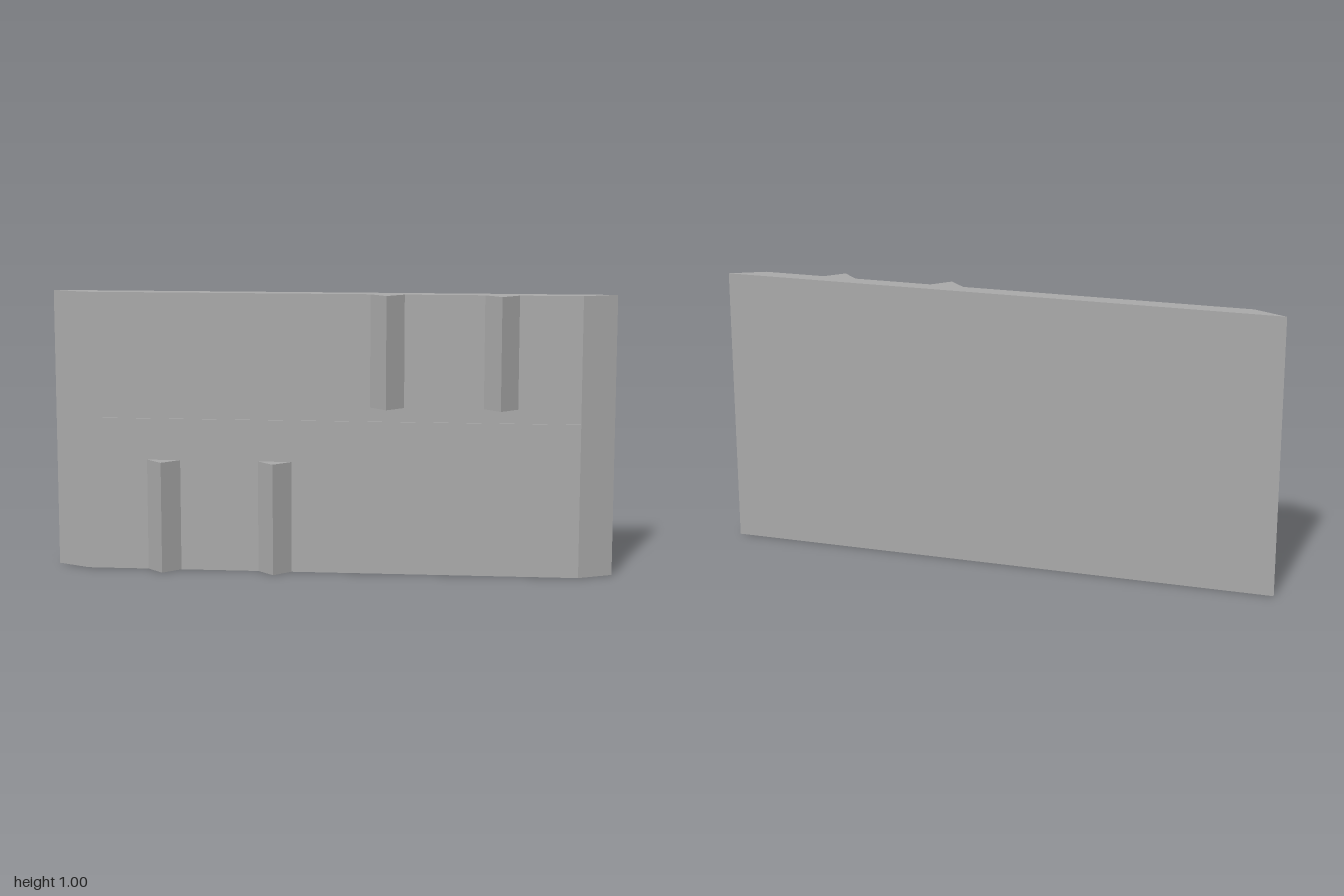
import * as THREE from 'three';

export function createModel() {
  const group = new THREE.Group();
  const grey = new THREE.MeshStandardMaterial({ color: 0xaaaaaa });
  grey.name = 'grey';

  const add = (name, geometry) => {
    const mesh = new THREE.Mesh(geometry, grey);
    mesh.name = name;
    group.add(mesh);
    return mesh;
  };

  // Upright prism from an outline of [x, z] points
  const prism = (outline, height) => {
    const shape = new THREE.Shape(outline.map(([x, z]) => new THREE.Vector2(x, -z)));
    return new THREE.ExtrudeGeometry(shape, { depth: height, bevelEnabled: false }).rotateX(-Math.PI / 2);
  };

  // Panel with bevelled side edges
  add('panel', prism([[-1, -0.06], [-0.88, 0], [0.88, 0], [1, -0.06]], 1));

  // Thin horizontal band across the middle of the front
  add('middleBand', new THREE.BoxGeometry(1.76, 0.1, 0.005)).position.set(0, 0.5, 0.0025);

  // Triangular ridges: two at the lower right, two at the upper left
  const ridge = prism([[-0.06, 0], [0, 0.06], [0.06, 0]], 0.4);
  for (const x of [-0.6, -0.2]) add('lowerRidge', ridge).position.set(x, 0, 0);
  for (const x of [0.2, 0.6]) add('upperRidge', ridge).position.set(x, 0.6, 0);

  return group;
}
